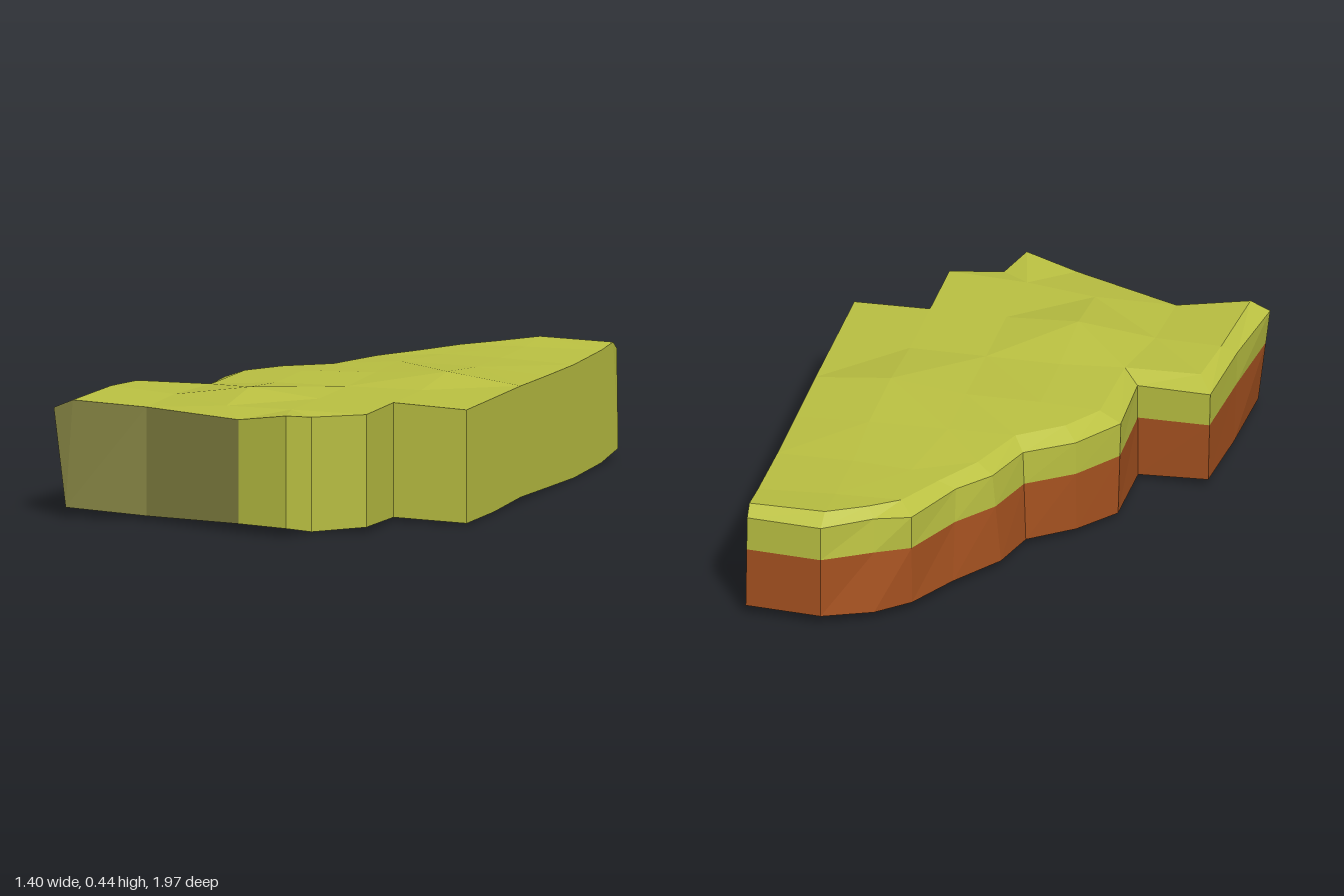
import * as THREE from 'three';

// Cliff side, front to back: foot x,z | lip x,z | turf edge x,z | foot, lip and turf heights
const CLIFF = [
  [-0.66, 0.84, -0.70, 0.85, -0.63, 0.85, 0.04, 0.39, 0.42],
  [-0.65, 0.54, -0.66, 0.55, -0.61, 0.52, 0.035, 0.385, 0.42],
  [-0.63, 0.26, -0.64, 0.25, -0.585, 0.33, 0.035, 0.38, 0.41],
  [-0.38, 0.26, -0.38, 0.25, -0.32, 0.31, 0.02, 0.38, 0.41],
  [-0.38, -0.02, -0.39, -0.02, -0.31, 0.0, 0.022, 0.38, 0.41],
  [-0.27, -0.17, -0.27, -0.18, -0.22, -0.13, 0.027, 0.375, 0.41],
  [-0.12, -0.29, -0.11, -0.29, -0.07, -0.24, 0.03, 0.375, 0.41],
  [-0.075, -0.46, -0.05, -0.48, 0.01, -0.45, 0.033, 0.38, 0.41],
  [0.05, -0.64, 0.05, -0.60, 0.11, -0.61, 0.035, 0.38, 0.41],
  [0.15, -0.82, 0.15, -0.83, 0.20, -0.77, 0.036, 0.38, 0.41],
  [0.26, -0.92, 0.27, -0.88, 0.30, -0.85, 0.036, 0.385, 0.415],
  [0.43, -1.0, 0.43, -1.0, 0.43, -0.94, 0.04, 0.39, 0.425],
  [0.70, -0.99, 0.695, -0.99, 0.70, -0.94, 0.04, 0.39, 0.42],
];

// Straight-cut sides, back to front then right to left: x, z, foot height, turf height
const CUT = [
  [0.70, -0.82, 0.015, 0.41], [0.70, -0.55, 0.005, 0.402], [0.70, -0.29, 0.012, 0.405],
  [0.70, -0.02, 0.02, 0.41], [0.70, 0.25, 0.01, 0.41], [0.70, 0.52, 0.012, 0.41],
  [0.43, 0.52, 0.018, 0.42], [0.43, 0.79, 0.025, 0.42], [0.25, 0.85, 0.008, 0.41],
  [0.20, 0.97, 0.035, 0.43], [0.01, 0.93, 0.035, 0.40], [-0.38, 0.79, 0.018, 0.40],
];

// Bumps inside the turf: x, z, height
const BUMPS = [
  [-0.1, 0.52, 0.445], [0.16, 0.53, 0.42], [-0.37, 0.54, 0.407], [0.15, 0.78, 0.42],
  [-0.1, 0.75, 0.415], [0.43, 0.24, 0.42], [0.16, 0.25, 0.42], [-0.1, 0.26, 0.42],
  [0.43, -0.02, 0.445], [0.16, -0.03, 0.425], [-0.1, -0.01, 0.42], [0.44, -0.29, 0.42],
  [0.16, -0.28, 0.425], [0.43, -0.55, 0.41], [0.22, -0.56, 0.41], [0.43, -0.79, 0.412],
];

const vec = (x, y, z) => new THREE.Vector3(x, y, z);

function facetMesh(name, points, material) {
  const geometry = new THREE.BufferGeometry().setFromPoints(points);
  geometry.computeVertexNormals();
  const mesh = new THREE.Mesh(geometry, material);
  mesh.name = name;
  return mesh;
}

// Triangles of a wall between a lower and an upper line of points
function wall(lower, upper) {
  const out = [];
  for (let i = 0; i + 1 < lower.length; i++) {
    out.push(lower[i + 1], lower[i], upper[i], lower[i + 1], upper[i], upper[i + 1]);
  }
  return out;
}

function inside(x, z, ring) {
  let hit = false;
  ring.forEach((a, i) => {
    const b = ring[(i + 1) % ring.length];
    if ((a.z > z) !== (b.z > z) && x < a.x + (b.x - a.x) * (z - a.z) / (b.z - a.z)) hit = !hit;
  });
  return hit;
}

// Keeps each upward triangle whose circumcircle is empty and which lies in the outline
function turfTriangles(ring, bumps) {
  const p = [...ring, ...bumps], out = [];
  for (let i = 0; i < p.length; i++) for (let j = i + 1; j < p.length; j++) for (let k = j + 1; k < p.length; k++) {
    const a = p[i], b = p[j], c = p[k];
    const bx = b.x - a.x, bz = b.z - a.z, cx = c.x - a.x, cz = c.z - a.z;
    const d = 2 * (bx * cz - bz * cx);
    if (Math.abs(d) < 1e-5) continue;
    const b2 = bx * bx + bz * bz, c2 = cx * cx + cz * cz;
    const ux = (cz * b2 - bz * c2) / d, uz = (bx * c2 - cx * b2) / d;
    const r = Math.hypot(ux, uz) - 1e-7;
    if (p.some((q) => q !== a && q !== b && q !== c && Math.hypot(q.x - a.x - ux, q.z - a.z - uz) < r)) continue;
    if (!inside((a.x + b.x + c.x) / 3, (a.z + b.z + c.z) / 3, ring)) continue;
    out.push(a, ...(d < 0 ? [b, c] : [c, b]));
  }
  return out;
}

export function createModel() {
  const material = (name, color) => {
    const m = new THREE.MeshStandardMaterial({ color, side: THREE.DoubleSide, flatShading: true });
    m.name = name;
    return m;
  };
  const grass = material('grass green', 0xbbc142);
  const earth = material('earth brown', 0xa65220);
  const stone = material('olive grey', 0x878644);

  const foot = CLIFF.map((c) => vec(c[0], c[6], c[1]));
  const lip = CLIFF.map((c) => vec(c[2], c[7], c[3]));
  const edge = CLIFF.map((c) => vec(c[4], c[8], c[5]));
  const middle = foot.map((f, i) => f.clone().lerp(lip[i], 0.64));
  const cutFoot = CUT.map((c) => vec(c[0], c[2], c[1]));
  const cutTop = CUT.map((c) => vec(c[0], c[3], c[1]));
  const end = CLIFF.length - 1;

  const group = new THREE.Group();
  group.name = 'cliffTile';

  // Cliff: brown earth below, overhanging grass lip, bevel up to the turf
  group.add(facetMesh('cliffEarth', wall(foot, middle), earth));
  group.add(facetMesh('grassLip', [...wall(middle, lip), ...wall(lip, edge)], grass));

  // Turf
  const bumps = BUMPS.map(([x, z, y]) => vec(x, y, z));
  group.add(facetMesh('turf', turfTriangles([...edge, ...cutTop], bumps), grass));

  // Green cut sides, up to the corner where the grey wall begins
  const split = CUT.length - 2;
  group.add(facetMesh('greenCutWall', [
    foot[end], lip[end], edge[end],
    ...wall([foot[end], ...cutFoot.slice(0, split + 1)], [edge[end], ...cutTop.slice(0, split + 1)]),
  ], grass));

  // Grey front wall
  group.add(facetMesh('greyFrontWall', [
    ...wall([...cutFoot.slice(split), foot[0]], [...cutTop.slice(split), edge[0]]),
    foot[0], edge[0], lip[0],
  ], stone));

  return group;
}
